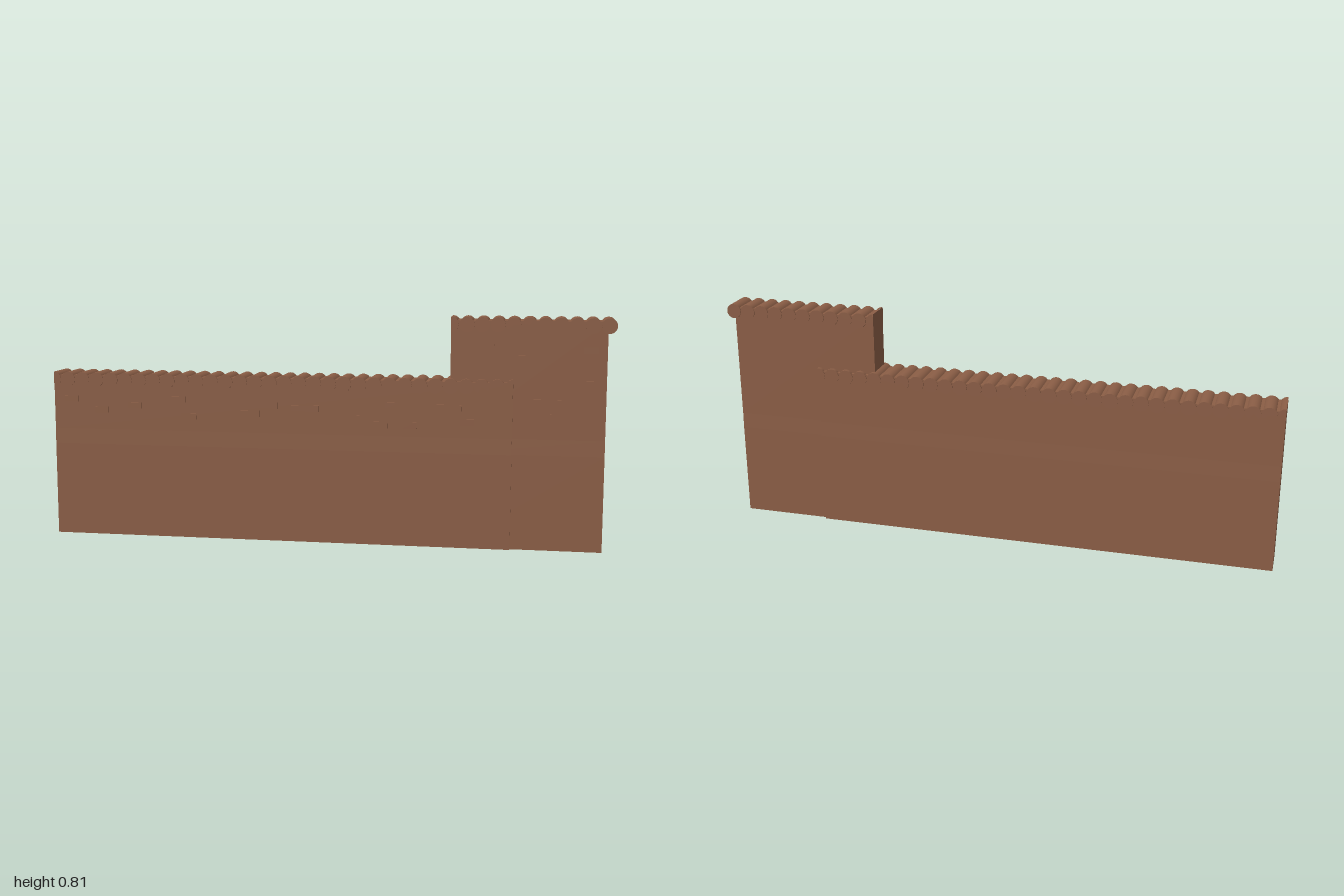
import * as THREE from 'three';

const R = 0.0265;      // coping log radius
const PITCH = 0.0534;  // spacing of the logs

export function createModel() {
  const clay = new THREE.MeshStandardMaterial({ color: 0x8b5e46 });
  clay.name = 'brown clay';
  const model = new THREE.Group();
  model.name = 'wall';

  const add = (parent, geometry, name, x, y, z) => {
    const mesh = new THREE.Mesh(geometry, clay);
    mesh.name = name;
    mesh.position.set(x, y, z);
    parent.add(mesh);
    return mesh;
  };

  // Wall body: a cross-section slightly thicker at the foot, run along x
  const wallBody = (parent, x0, x1, top, half, foot) => {
    const s = new THREE.Shape();
    s.moveTo(-foot, 0);
    s.lineTo(foot, 0);
    s.lineTo(foot, 0.335);
    s.lineTo(half, 0.39);
    s.lineTo(half, top);
    s.lineTo(-half, top);
    s.lineTo(-half, 0.39);
    s.lineTo(-foot, 0.335);
    s.closePath();
    const g = new THREE.ExtrudeGeometry(s, { depth: x1 - x0, bevelEnabled: false });
    g.rotateY(Math.PI / 2);
    add(parent, g, 'wallBody', x0, 0, 0);
  };

  // Row of logs lying across the wall top; the ends may be cut flush
  const coping = (parent, x0, count, y, half, cutLast) => {
    for (let i = 0; i < count; i++) {
      const x = x0 + i * PITCH;
      const side = i === 0 ? 1 : cutLast && i === count - 1 ? -1 : 0;
      const start = side < 0 ? Math.PI : 0;
      const sweep = side ? Math.PI : Math.PI * 2;
      const g = new THREE.CylinderGeometry(R, R, half * 2, side ? 10 : 20, 1, false, start, sweep);
      g.rotateX(Math.PI / 2);
      add(parent, g, 'copingLog', x, y, 0);
      if (side) {
        const face = new THREE.PlaneGeometry(half * 2, R * 2);
        face.rotateY(-side * Math.PI / 2);
        add(parent, face, 'copingEndFace', x - side * 0.0005, y, 0);
      }
    }
  };

  // Bricks standing slightly proud of the front: [x, y, width]
  const bricks = (parent, list, z) => {
    for (const [x, y, w] of list) {
      add(parent, new THREE.BoxGeometry(w, 0.022, 0.008), 'brick', x, y, z);
    }
  };

  const longWall = new THREE.Group();
  longWall.name = 'longWall';
  model.add(longWall);
  wallBody(longWall, -1, 0.655, 0.586, 0.06, 0.0612);
  coping(longWall, -1, 32, 0.5705, 0.0625, true);
  bricks(longWall, [
    [-0.935, 0.5, 0.05], [-0.82, 0.462, 0.05], [-0.695, 0.48, 0.05], [-0.555, 0.505, 0.1],
    [-0.495, 0.445, 0.055], [-0.285, 0.46, 0.1], [-0.19, 0.49, 0.045], [-0.07, 0.482, 0.1],
    [0.1, 0.45, 0.05], [0.2, 0.43, 0.05], [0.3, 0.43, 0.05], [0.24, 0.5, 0.05],
    [0.43, 0.495, 0.1], [0.5, 0.445, 0.05],
  ], 0.0605);

  const tallWall = new THREE.Group();
  tallWall.name = 'tallWall';
  model.add(tallWall);
  wallBody(tallWall, 0.44, 0.97, 0.798, 0.0485, 0.05);
  coping(tallWall, 0.44, 11, 0.7835, 0.051, false);
  bricks(tallWall, [
    [0.565, 0.705, 0.05], [0.68, 0.67, 0.1], [0.915, 0.7, 0.05],
    [0.925, 0.585, 0.05], [0.765, 0.518, 0.11], [0.81, 0.467, 0.055],
  ], 0.0487);

  return model;
}
